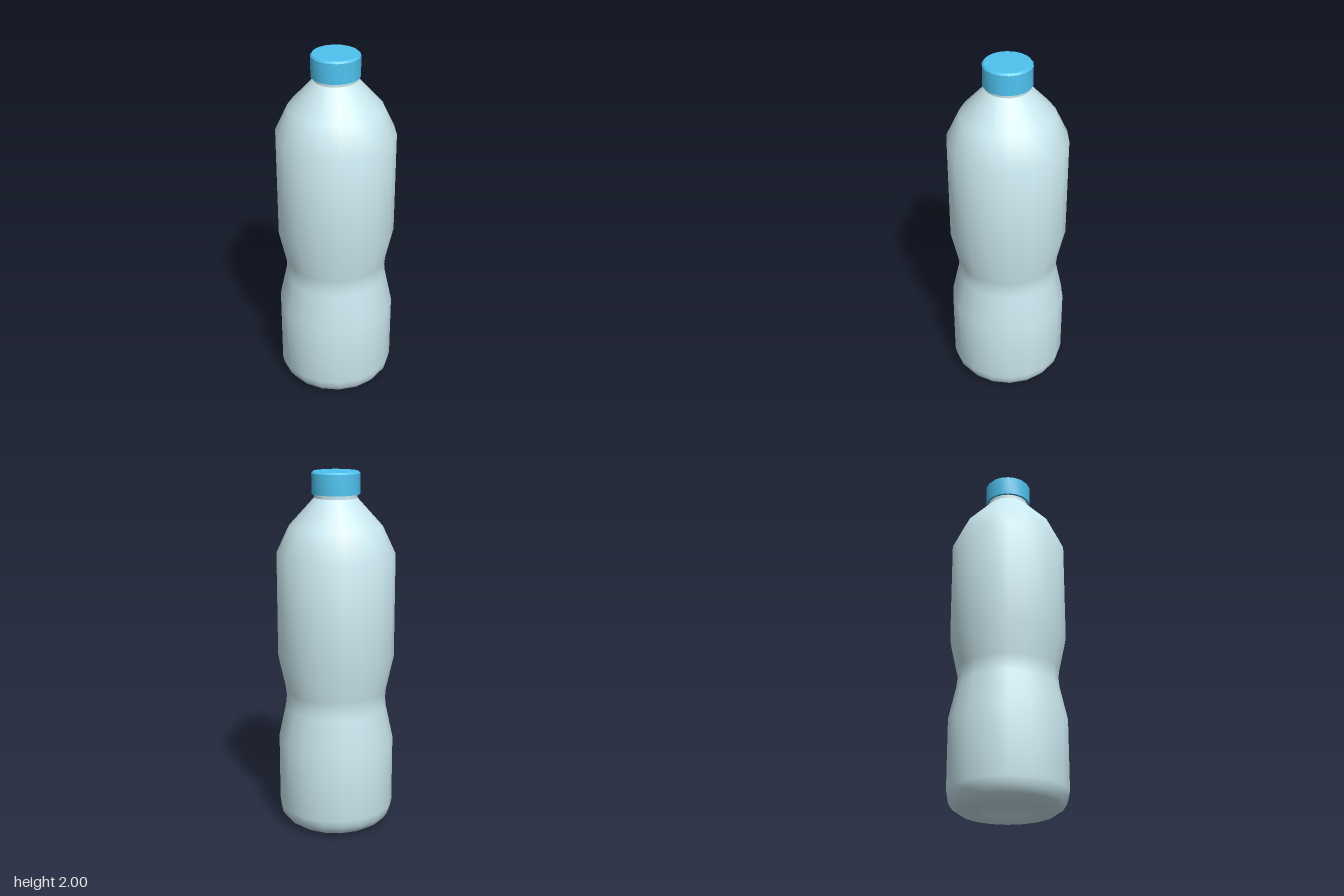
import * as THREE from 'three';
import { toCreasedNormals } from 'three/addons/utils/BufferGeometryUtils.js';

const SIDES = 18;

// Turned part: smooth around, sharp where the profile bends strongly
function turned(name, profile, color) {
  const points = profile.map(([r, y]) => new THREE.Vector2(r, y));
  const geometry = toCreasedNormals(new THREE.LatheGeometry(points, SIDES), 0.6);
  const mesh = new THREE.Mesh(geometry, new THREE.MeshStandardMaterial({ color }));
  mesh.name = name;
  return mesh;
}

export function createModel() {
  const group = new THREE.Group();
  group.name = 'bottle';

  // Rounded bottom edge
  const R = 0.325, round = 0.11;
  const bottomEdge = [];
  for (let i = 0; i <= 4; i++) {
    const a = (i / 4) * Math.PI / 2;
    bottomEdge.push([R - round + round * Math.sin(a), round - round * Math.cos(a)]);
  }

  // Body: recessed base, pinched waist, sloping shoulder
  group.add(turned('body', [
    [0, 0.04], [0.083, 0.04], [0.138, 0],
    ...bottomEdge,
    [R, 0.5], [0.284, 0.69], [0.279, 0.74], [0.284, 0.79], [R, 0.98],
    [R, 1.56], [0.254, 1.71], [0.117, 1.86],
  ], 0xcbe9f0));

  // Neck, running up inside the cap
  group.add(turned('neck', [[0.117, 1.86], [0.117, 1.9]], 0xcbe9f0));

  // Screw cap with a small bevel at the top
  group.add(turned('cap', [
    [0.1, 1.88], [0.131, 1.88], [0.131, 1.99], [0.122, 2], [0, 2],
  ], 0x4fc3f0));

  return group;
}
